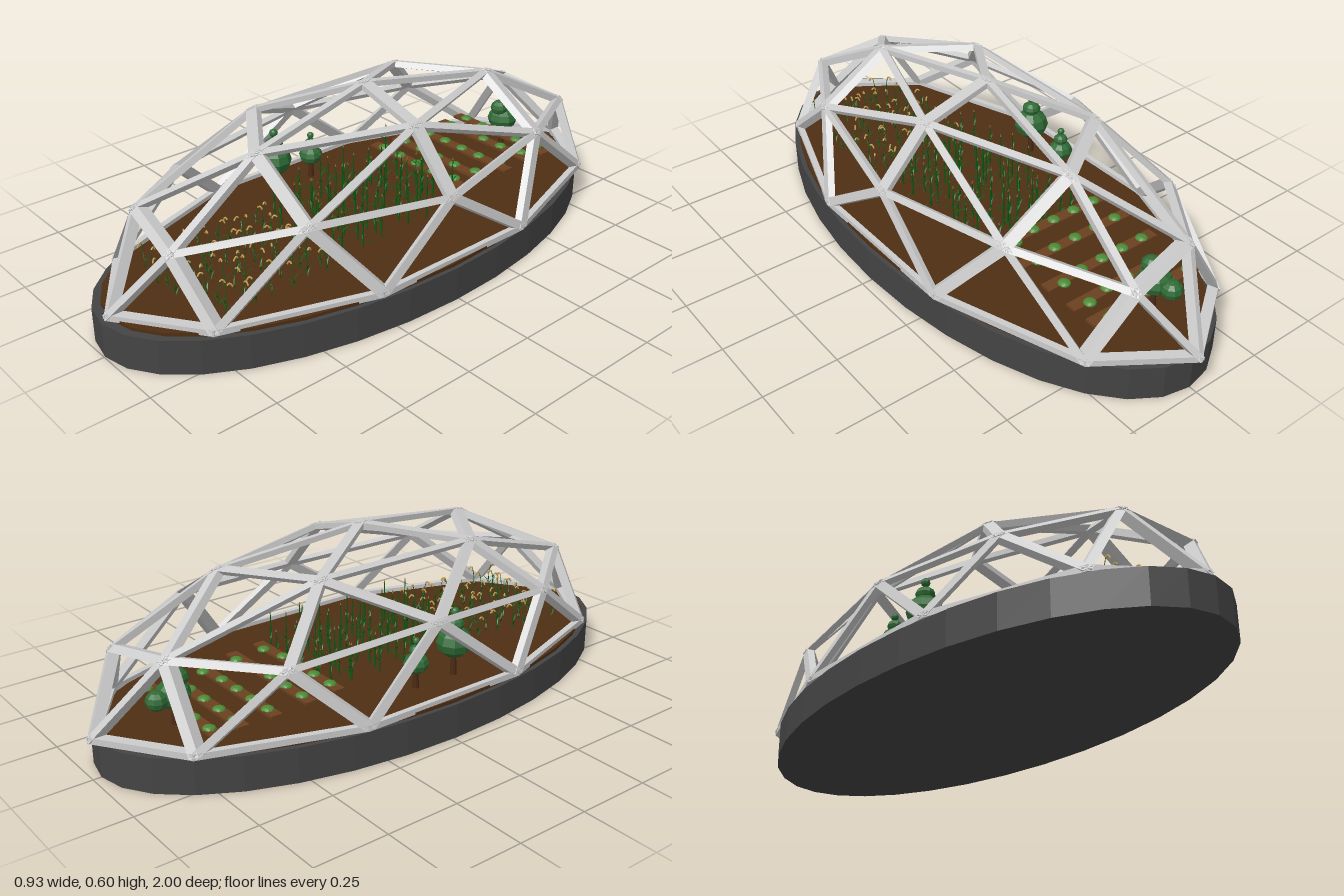
import * as THREE from 'three';
import { mergeGeometries } from 'three/addons/utils/BufferGeometryUtils.js';

const GROUND = 0.127;
const mat = (color, extra = {}) => new THREE.MeshStandardMaterial({ color, ...extra });

function add(parent, name, geometry, material, x = 0, y = 0, z = 0) {
  const mesh = new THREE.Mesh(geometry, material);
  mesh.name = name;
  mesh.position.set(x, y, z);
  parent.add(mesh);
  return mesh;
}

// Small seeded generator, returns a function giving values from a to b
function seeded(seed) {
  return (a, b) => {
    seed = (seed * 16807) % 2147483647;
    return a + (b - a) * (seed / 2147483647);
  };
}

// Two-frequency geodesic dome on a unit sphere, stretched to an ellipsoid
function makeDome() {
  const dome = new THREE.Group();
  dome.name = 'domeFrame';
  const ring = (count, radius, y, start) => Array.from({ length: count }, (_, i) => {
    const a = THREE.MathUtils.degToRad(start + i * 360 / count);
    return new THREE.Vector3(radius * Math.cos(a), y, radius * Math.sin(a));
  });
  const apex = new THREE.Vector3(0, 1, 0);
  const upper = ring(5, 0.5257, 0.8507, 0);
  const hubs = ring(5, 0.8944, 0.4472, 0);
  const mids = ring(5, 0.8507, 0.5257, 36);
  const foot = ring(10, 1, 0, 18);
  const edges = [];
  for (let i = 0; i < 5; i++) {
    const prev = (i + 4) % 5, next = (i + 1) % 5;
    edges.push([apex, upper[i]], [upper[i], upper[next]], [upper[i], hubs[i]],
      [upper[i], mids[i]], [upper[i], mids[prev]], [hubs[i], mids[i]], [hubs[i], mids[prev]],
      [hubs[i], foot[2 * i]], [hubs[i], foot[(2 * i + 9) % 10]],
      [mids[i], foot[2 * i]], [mids[i], foot[2 * i + 1]]);
  }
  foot.forEach((p, i) => edges.push([p, foot[(i + 1) % 10]]));

  // Square struts with one face turned outward
  const struts = edges.map(([a, b]) => {
    const along = b.clone().sub(a), middle = a.clone().add(b).multiplyScalar(0.5);
    const out = middle.clone().normalize();
    const side = new THREE.Vector3().crossVectors(out, along).normalize();
    const frame = new THREE.Matrix4().makeBasis(side, out, along.clone().normalize());
    return new THREE.BoxGeometry(0.045, 0.04, along.length() + 0.02)
      .applyMatrix4(frame.setPosition(middle));
  });
  const geometry = mergeGeometries(struts).scale(0.456, 0.456, 0.975);
  add(dome, 'struts', geometry, mat(0xcccccc, { flatShading: true }), 0, 0.131, -0.01);
  return dome;
}

// Trunk with stacked faceted balls of foliage: [dx, y, dz, radius, height factor]
function makeTree(x, z, trunkTop, balls, material) {
  const tree = new THREE.Group();
  tree.name = 'tree';
  tree.position.set(x, 0, z);
  const h = trunkTop - GROUND;
  add(tree, 'trunk', new THREE.CylinderGeometry(0.007, 0.011, h, 8), mat(0x4a2a14), 0, GROUND + h / 2, 0);
  balls.forEach(([dx, y, dz, r, f]) => {
    add(tree, 'foliage', new THREE.SphereGeometry(r, 9, 6), material, dx, y, dz).scale.y = f;
  });
  return tree;
}

// Tapered curved leaf made from a flat strip
function leafGeometry(length, width, rise, droop) {
  const leaf = new THREE.PlaneGeometry(1, 1, 1, 4);
  const p = leaf.attributes.position;
  for (let i = 0; i < p.count; i++) {
    const t = p.getY(i) + 0.5;
    p.setXYZ(i, t * length, rise * t - droop * t * t, p.getX(i) * width * (1 - 0.9 * t));
  }
  leaf.computeVertexNormals();
  return leaf;
}

function makeCorn(rand) {
  const green = [], tassels = [];
  for (let row = 0; row < 6; row++) {
    for (let i = 0; i < 9; i++) {
      const x = -0.15 + i * 0.041 + rand(-0.012, 0.012);
      const z = -0.25 + row * 0.1 + rand(-0.02, 0.02);
      const h = rand(0.1, 0.185);
      green.push(new THREE.CylinderGeometry(0.0015, 0.003, h, 5).translate(x, GROUND + h / 2, z));
      for (let k = 0; k < 5; k++) {
        green.push(leafGeometry(rand(0.025, 0.04), 0.007, 0.05, 0.04)
          .rotateY(k * 2.4 + rand(0, 1)).translate(x, GROUND + h * (0.08 + k * 0.14), z));
      }
      tassels.push(new THREE.ConeGeometry(0.003, 0.012, 5).translate(x, GROUND + h, z));
    }
  }
  const corn = new THREE.Group();
  corn.name = 'cornField';
  add(corn, 'cornStalks', mergeGeometries(green), mat(0x0a5a12, { side: THREE.DoubleSide }));
  add(corn, 'cornTassels', mergeGeometries(tassels), mat(0x8a6a35));
  return corn;
}

function makeWheat(rand) {
  const stems = [], heads = [];
  for (let row = 0; row < 7; row++) {
    for (let i = 0; i < 9; i++) {
      const x = -0.15 + i * 0.045 + rand(-0.015, 0.015);
      const z = 0.33 + row * 0.072 + rand(-0.015, 0.015);
      if ((x / 0.42) ** 2 + (z / 0.93) ** 2 > 1) continue;
      const h = rand(0.06, 0.09), bend = rand(0, Math.PI * 2);
      const place = g => g.rotateY(bend).translate(x, GROUND, z);
      const stem = new THREE.QuadraticBezierCurve3(new THREE.Vector3(),
        new THREE.Vector3(0, h * 0.8, 0), new THREE.Vector3(0.008, h, 0));
      stems.push(place(new THREE.TubeGeometry(stem, 4, 0.0014, 4)));
      for (let k = 0; k < 3; k++) {
        stems.push(place(leafGeometry(0.025, 0.006, 0.05, 0.03).rotateY(k * 2.1).translate(0, h * 0.15 * k, 0)));
      }
      // Drooping ear of grain
      const ear = new THREE.QuadraticBezierCurve3(new THREE.Vector3(0.008, h, 0),
        new THREE.Vector3(0.016, h + 0.014, 0), new THREE.Vector3(0.024, h - 0.006, 0));
      heads.push(place(new THREE.TubeGeometry(ear, 5, 0.003, 5)));
    }
  }
  const wheat = new THREE.Group();
  wheat.name = 'wheatField';
  add(wheat, 'wheatStems', mergeGeometries(stems), mat(0x1a5c1a, { side: THREE.DoubleSide }));
  add(wheat, 'wheatEars', mergeGeometries(heads), mat(0xc9a050));
  return wheat;
}

// Five raised planks, each carrying a row of small round plants
function makeBeds() {
  const beds = new THREE.Group();
  beds.name = 'vegetableBeds';
  const wood = mat(0x6b4020), leafy = mat(0x4c8a35, { flatShading: true });
  [[-0.3, 0.182], [-0.405, 0.174], [-0.53, 0.168], [-0.645, 0.17], [-0.73, 0.17]].forEach(([z, y]) => {
    add(beds, 'plank', new THREE.BoxGeometry(0.45, 0.008, 0.04), wood, -0.045, y, z);
    for (let i = 0; i < 5; i++) {
      const plant = add(beds, 'vegetable', new THREE.IcosahedronGeometry(0.021, 1), leafy,
        -0.22 + i * 0.085, y + 0.004, z - (i === 4 ? 0.018 : 0));
      plant.scale.y = 0.5;
    }
  });
  return beds;
}

export function createModel() {
  const model = new THREE.Group();
  model.name = 'domeGreenhouse';

  // Oval plinth and soil
  const plinth = new THREE.CylinderGeometry(1, 1, 0.116, 32).scale(0.464, 1, 0.985);
  add(model, 'plinth', plinth, mat(0x444444, { flatShading: true }), 0, 0.058, 0.012);
  const soil = new THREE.CylinderGeometry(1, 1, 0.013, 32).scale(0.45, 1, 0.955);
  add(model, 'soil', soil, mat(0x4f2f14), 0, 0.1205, 0.012);

  model.add(makeDome());

  const leaves = mat(0x2f6b35, { flatShading: true });
  model.add(
    makeTree(-0.31, 0.13, 0.22, [[0, 0.243, 0, 0.06, 0.88], [0, 0.304, 0, 0.032, 0.75], [0, 0.345, 0, 0.015, 1]], leaves),
    makeTree(-0.31, -0.03, 0.2, [[0, 0.212, 0, 0.042, 0.8], [0, 0.255, 0, 0.024, 0.8], [0, 0.287, 0, 0.012, 1]], leaves),
    makeTree(-0.055, -0.75, 0.21, [[0, 0.228, 0, 0.055, 0.8], [0, 0.275, 0.02, 0.032, 0.9], [-0.01, 0.225, -0.06, 0.035, 0.9]], leaves));

  const rand = seeded(41);
  model.add(makeCorn(rand), makeWheat(rand), makeBeds());
  return model;
}
